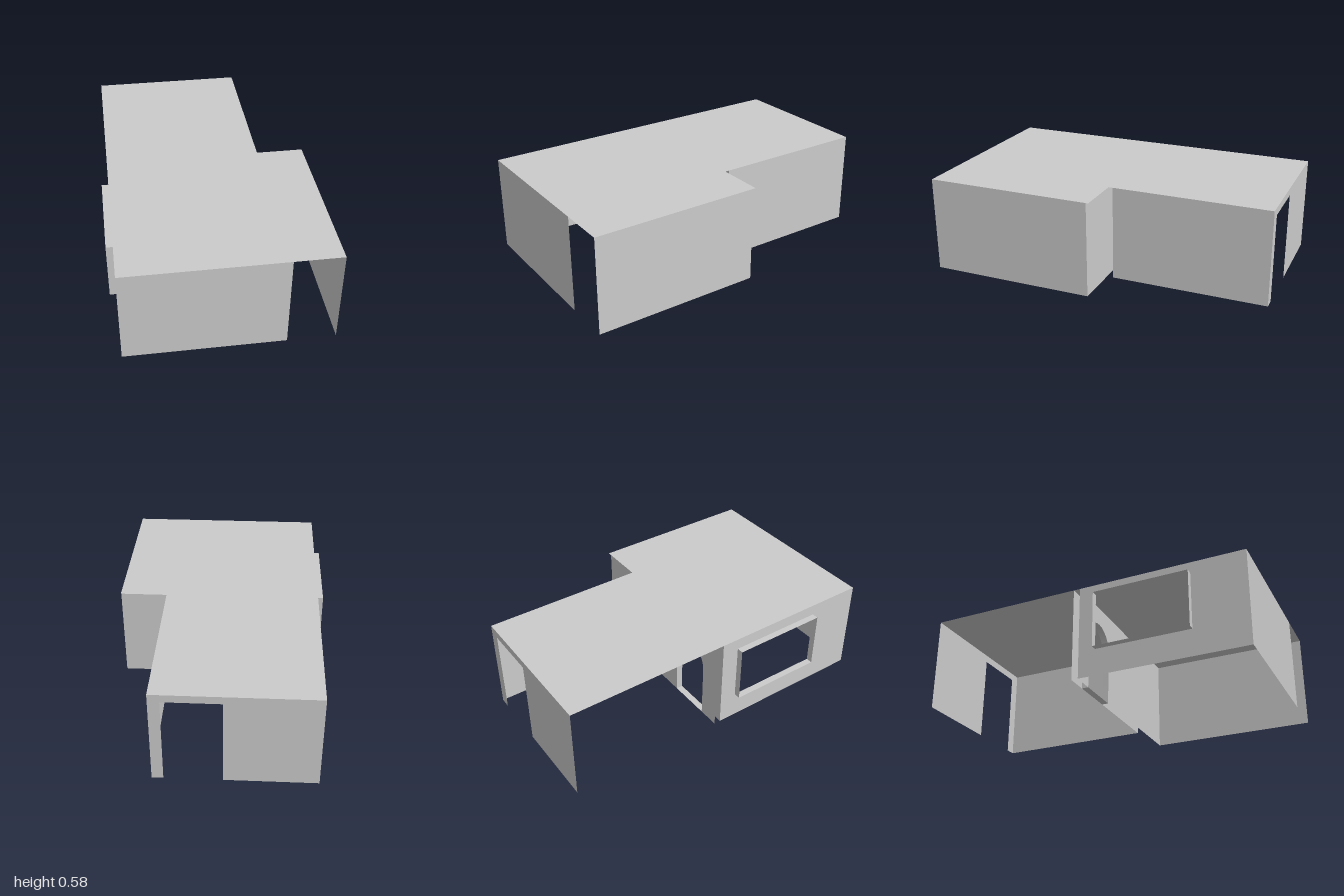
import * as THREE from 'three';
import { toCreasedNormals } from 'three/addons/utils/BufferGeometryUtils.js';

const H = 0.578;                        // wall height
const LEFT = 0.62, STEP = 0.34, RIGHT = -0.58;
const FRONT_ROOM_BACK = -0.01, BACK_ROOM_FRONT = -0.05;

const material = new THREE.MeshStandardMaterial({ color: 0xcccccc, side: THREE.DoubleSide });
const polygon = (pts) => new THREE.Shape(pts.map(([u, v]) => new THREE.Vector2(u, v)));
const rect = (u0, u1, v0, v1) => [[u0, v0], [u1, v0], [u1, v1], [u0, v1]];

// Open-ended sleeve: a closed outline swept straight from depth d0 to d1
function sleeveGeometry(outline, d0, d1) {
  const n = outline.length;
  const geo = new THREE.PlaneGeometry(1, 1, n, 1);
  const pos = geo.attributes.position;
  for (let row = 0; row < 2; row++) {
    for (let i = 0; i <= n; i++) {
      const [u, v] = outline[i % n];
      pos.setXYZ(row * (n + 1) + i, u, v, row ? d1 : d0);
    }
  }
  return toCreasedNormals(geo, 0.5);
}

export function createModel() {
  const model = new THREE.Group();
  const add = (name, geo) => {
    const mesh = new THREE.Mesh(geo, material);
    mesh.name = name;
    model.add(mesh);
    return mesh;
  };
  // Thin wall facing z, or facing x with its outline given in (z, y)
  const wallZ = (name, z, shape) =>
    add(name, new THREE.ShapeGeometry(shape).translate(0, 0, z));
  const wallX = (name, x, shape) =>
    add(name, new THREE.ShapeGeometry(shape).rotateY(-Math.PI / 2).translate(x, 0, 0));

  // Flat L-shaped roof over both rooms
  const roof = polygon([[RIGHT, -1], [LEFT, -1], [LEFT, 0.025], [STEP, 0.025], [STEP, 1], [RIGHT, 1]]);
  add('roof', new THREE.ShapeGeometry(roof).rotateX(-Math.PI / 2).translate(0, H, 0));

  // Front room: the front wall leaves a full-height entrance at its left
  wallZ('frontWall', 1, polygon(rect(RIGHT, STEP, 0, H)));
  wallX('frontRoomLeftWall', LEFT, polygon(rect(FRONT_ROOM_BACK, 1, 0, H)));

  // Window wall with a thin projecting frame
  const windowOutline = rect(0.095, 0.675, 0.163, 0.51);
  const windowWall = polygon(rect(FRONT_ROOM_BACK, 1, 0, H));
  windowWall.holes.push(polygon(windowOutline));
  wallX('windowWall', RIGHT, windowWall);
  add('windowFrame', sleeveGeometry(windowOutline, 0, 0.04).rotateY(-Math.PI / 2).translate(RIGHT, 0, 0));

  // Arched doorway through the double partition
  const archX = -0.32, archR = 0.131, spring = 0.336;
  const arch = [[archX - archR, 0]];
  for (let i = 0; i <= 24; i++) {
    const a = Math.PI * (1 - i / 24);
    arch.push([archX + archR * Math.cos(a), spring + archR * Math.sin(a)]);
  }
  arch.push([archX + archR, 0]);
  const partition = (x1) => polygon([[RIGHT, 0], ...arch, [x1, 0], [x1, H], [RIGHT, H]]);
  wallZ('frontRoomPartition', FRONT_ROOM_BACK, partition(LEFT));
  wallZ('backRoomPartition', BACK_ROOM_FRONT, partition(STEP));
  add('archLining', sleeveGeometry(arch, FRONT_ROOM_BACK, BACK_ROOM_FRONT));

  // Back room: open on its right side, doorway in the back wall
  wallX('backRoomLeftWall', STEP, polygon(rect(-1, BACK_ROOM_FRONT, 0, H)));
  const d0 = -0.052, d1 = 0.275, doorTop = 0.532;
  wallZ('backWall', -1, polygon([
    [RIGHT, 0], [d0, 0], [d0, doorTop], [d1, doorTop], [d1, 0], [STEP, 0], [STEP, H], [RIGHT, H],
  ]));

  return model;
}
